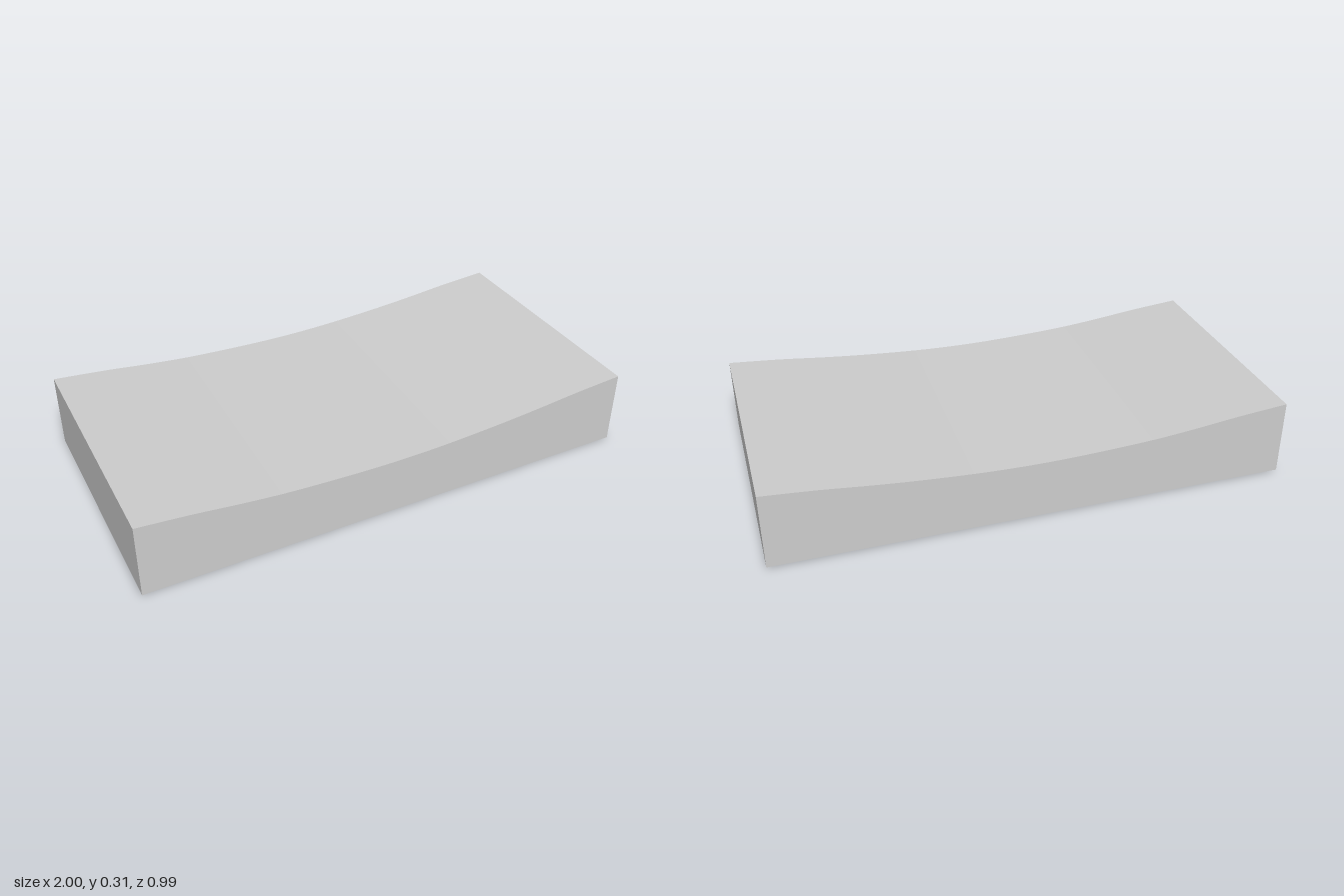
import * as THREE from 'three';

const LENGTH = 2, WIDTH = 0.99, TILT = 0.0075;
const RECESS = { length: 1.71, width: 0.845, depth: 0.19 };

// Box without its downward face
function openBox(length, height, width, segments = 1) {
  const geo = new THREE.BoxGeometry(length, height, width, segments, 1, 1);
  geo.translate(0, height / 2, 0);
  const bottom = geo.groups[3];
  const index = Array.from(geo.index.array);
  index.splice(bottom.start, bottom.count);
  geo.setIndex(index);
  geo.clearGroups();
  return geo;
}

// Corner points of a centred rectangle
function rectangle(length, width) {
  const x = length / 2, z = width / 2;
  return [[-x, -z], [x, -z], [x, z], [-x, z]].map(([a, b]) => new THREE.Vector2(a, b));
}

export function createModel() {
  const model = new THREE.Group();
  model.name = 'dishedSlab';
  const grey = new THREE.MeshStandardMaterial({ color: 0xcccccc });
  const inward = new THREE.MeshStandardMaterial({ color: 0xcccccc, side: THREE.BackSide });

  const add = (name, geometry, material = grey) => {
    const mesh = new THREE.Mesh(geometry, material);
    mesh.name = name;
    model.add(mesh);
  };

  // Outer body: the top edge follows a shallow sagging curve
  const sag = new THREE.SplineCurve([
    [-1, 0.3], [-0.8, 0.282], [-0.6, 0.259], [-0.4, 0.242], [-0.1, 0.23],
    [0.15, 0.232], [0.4, 0.246], [0.6, 0.263], [0.8, 0.284], [1, 0.3],
  ].map(([x, y]) => new THREE.Vector2(x, y)));
  const segments = 36;
  const body = openBox(LENGTH, 0.3, WIDTH, segments);
  const pos = body.attributes.position;
  for (let i = 0; i < pos.count; i++) {
    if (pos.getY(i) < 0.1) continue;
    const p = sag.getPoint(THREE.MathUtils.clamp(pos.getX(i) / LENGTH + 0.5, 0, 1));
    pos.setXY(i, p.x, p.y);
  }
  // Keep the lower edge in step with the upper one
  for (let i = 0; i < pos.count; i++) {
    if (pos.getY(i) > 0.1) continue;
    pos.setX(i, sag.getPoint(THREE.MathUtils.clamp(pos.getX(i) / LENGTH + 0.5, 0, 1)).x);
  }
  body.computeVertexNormals();
  add('curvedBody', body);

  // Flat rim around the underside opening
  const rim = new THREE.Shape(rectangle(LENGTH, WIDTH));
  rim.holes.push(new THREE.Path(rectangle(RECESS.length, RECESS.width)));
  add('bottomRim', new THREE.ShapeGeometry(rim).rotateX(Math.PI / 2));

  // Hollow pocket seen from below
  add('undersideRecess', openBox(RECESS.length, RECESS.depth, RECESS.width), inward);

  // Slight forward lean, resting on the front edge
  model.rotation.x = TILT;
  model.position.set(0, Math.sin(TILT) * WIDTH / 2, -0.001);
  return model;
}
